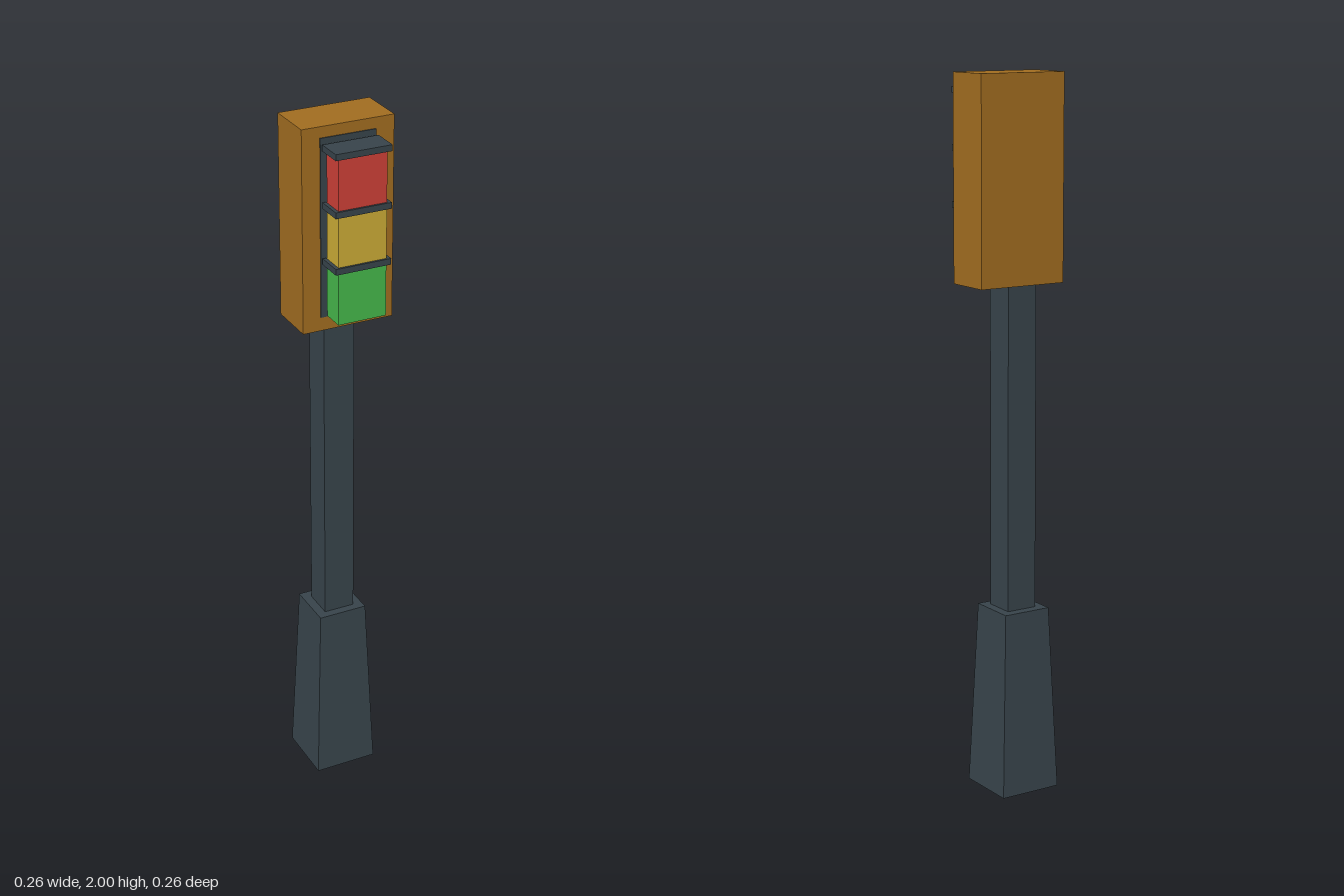
import * as THREE from 'three';

const material = (name, color, flat = false) => {
  const m = new THREE.MeshStandardMaterial({ color, flatShading: flat });
  m.name = name;
  return m;
};

export function createModel() {
  const group = new THREE.Group();
  group.name = 'trafficLight';

  const slate = material('slate', 0x37434a, true);
  const ochre = material('ochre', 0xa06c20);
  const red = material('red', 0xcc4037);
  const yellow = material('yellow', 0xc9aa36);
  const green = material('green', 0x45b64a);

  const add = (name, geometry, mat, x, y, z) => {
    const mesh = new THREE.Mesh(geometry, mat);
    mesh.name = name;
    mesh.position.set(x, y, z);
    group.add(mesh);
  };
  // Box given by its lower and upper corners
  const box = (name, mat, [x0, y0, z0], [x1, y1, z1]) =>
    add(name, new THREE.BoxGeometry(x1 - x0, y1 - y0, z1 - z0), mat,
      (x0 + x1) / 2, (y0 + y1) / 2, (z0 + z1) / 2);

  // Tapered square base
  const base = new THREE.CylinderGeometry(0.071 * Math.SQRT2, 0.091 * Math.SQRT2, 0.525, 4);
  base.rotateY(Math.PI / 4);
  add('base', base, slate, -0.012, 0.2625, -0.038);

  // Square pole
  box('pole', slate, [-0.057, 0.525, -0.081], [0.033, 1.436, 0.009]);

  // Signal housing and the thin dark plate behind the lamps
  box('housing', ochre, [-0.131, 1.435, -0.102], [0.131, 2, 0.038]);
  box('backPlate', slate, [-0.08, 1.474, 0.038], [0.078, 1.97, 0.041]);

  // Three lamps, each under a projecting visor
  [['red', red], ['yellow', yellow], ['green', green]].forEach(([name, mat], i) => {
    const top = 1.94 - i * 0.155;
    box(name + 'Lamp', mat, [-0.07, top - 0.145, 0.057], [0.068, top, 0.123]);
    box(name + 'Visor', slate, [-0.08, top, 0.052], [0.079, top + 0.017, 0.129]);
  });

  return group;
}
